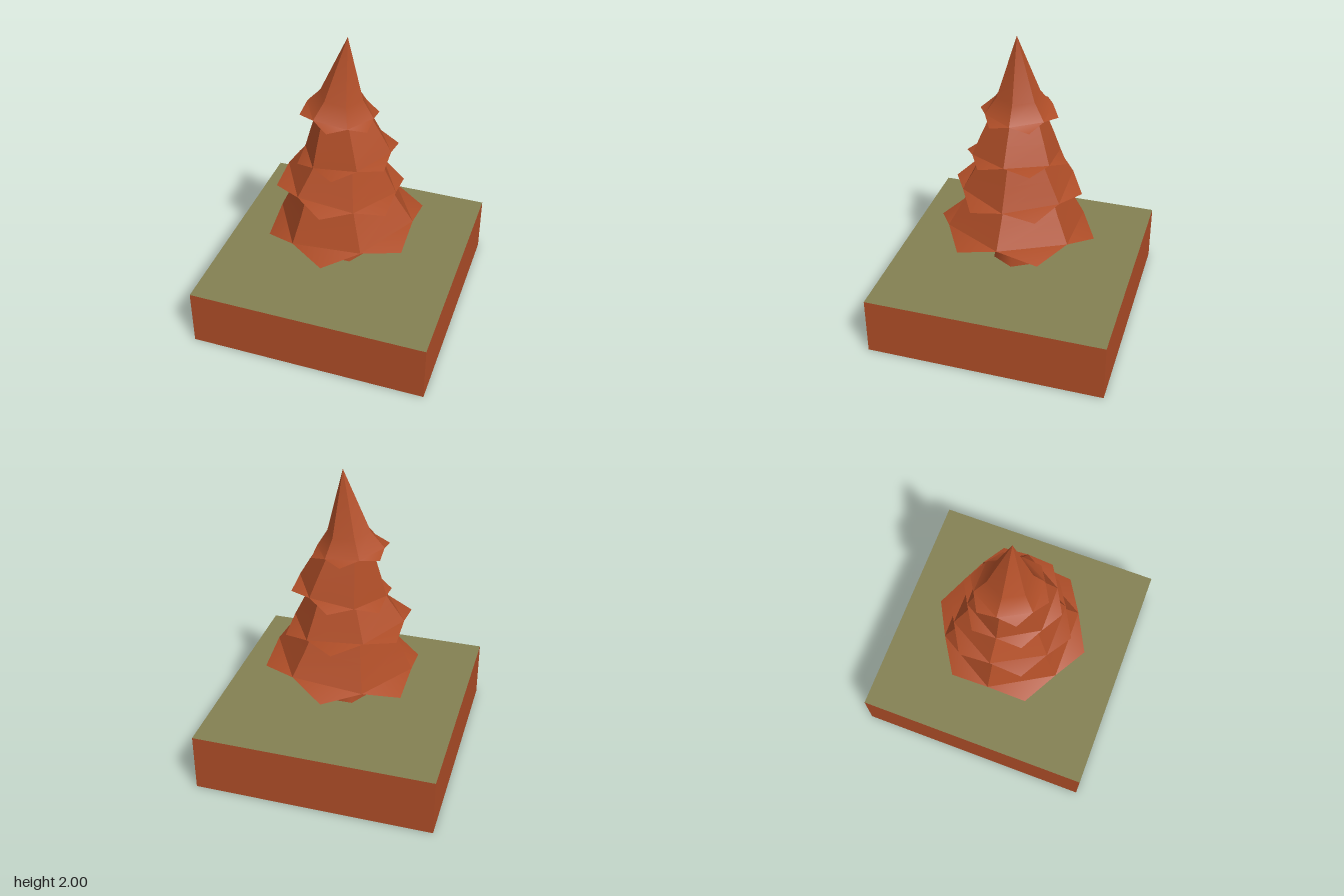
import * as THREE from 'three';
import { toCreasedNormals } from 'three/addons/utils/BufferGeometryUtils.js';

const SIDES = 6;

// One skirt of branches: six-sided rings [radius, height], with a drooping tip on each lower edge
function tierGeometry(rings, tipRadius, droop) {
  const pos = [];
  const point = (r, k, y) => {
    const a = (k * Math.PI * 2) / SIDES;
    return [r * Math.cos(a), y, r * Math.sin(a)];
  };
  const tri = (a, b, c) => pos.push(...a, ...b, ...c);
  for (let k = 0; k < SIDES; k++) {
    // sloping sides
    for (let i = 0; i < rings.length - 1; i++) {
      const [r0, y0] = rings[i], [r1, y1] = rings[i + 1];
      const a = point(r0, k, y0), b = point(r0, k + 1, y0);
      const c = point(r1, k, y1), d = point(r1, k + 1, y1);
      tri(a, c, b);
      if (r1 > 0) tri(c, d, b);
    }
    // tip (both faces) and underside
    const [r, y] = rings[0];
    const a = point(r, k, y), b = point(r, k + 1, y);
    const tip = point(tipRadius, k + 0.5, y - droop);
    tri(a, b, tip);
    tri(a, tip, b);
    tri([0, y, 0], a, b);
  }
  const geo = new THREE.BufferGeometry();
  geo.setAttribute('position', new THREE.Float32BufferAttribute(pos, 3));
  return toCreasedNormals(geo, THREE.MathUtils.degToRad(38));
}

export function createModel() {
  const model = new THREE.Group();
  model.name = 'treeOnBlock';

  const brown = new THREE.MeshStandardMaterial({ color: 0xae4d27 });
  brown.name = 'rustBrown';
  const green = new THREE.MeshStandardMaterial({ color: 0x838052 });
  green.name = 'olive';

  // Ground block, olive on top
  const block = new THREE.Mesh(
    new THREE.BoxGeometry(1.575, 0.395, 1.575),
    [brown, brown, green, brown, brown, brown]
  );
  block.name = 'groundBlock';
  block.position.y = 0.1975;
  model.add(block);

  // Flared six-sided trunk
  const profile = [[0.165, 0.39], [0.134, 0.55], [0.121, 0.69]].map(([r, y]) => new THREE.Vector2(r, y));
  const trunk = new THREE.Mesh(new THREE.LatheGeometry(profile, SIDES, Math.PI / 2), brown);
  trunk.name = 'trunk';
  model.add(trunk);

  // Branch tiers, tilted to alternate sides
  const tiers = [
    { x: 0.01, y: 0.69, tilt: 5, tip: 0.525, droop: 0.06, rings: [[0.46, 0], [0.365, 0.165], [0.27, 0.36]] },
    { x: -0.02, y: 0.972, tilt: -5.3, tip: 0.425, droop: 0.038, rings: [[0.37, 0], [0.286, 0.138], [0.2, 0.295]] },
    { x: 0.02, y: 1.206, tilt: 7, tip: 0.333, droop: 0.036, rings: [[0.29, 0], [0.237, 0.127], [0.155, 0.31]] },
    { x: -0.03, y: 1.487, tilt: -5.5, tip: 0.255, droop: 0.027, rings: [[0.22, 0], [0.14, 0.11], [0, 0.515]] },
  ];
  tiers.forEach((t, i) => {
    const mesh = new THREE.Mesh(tierGeometry(t.rings, t.tip, t.droop), brown);
    mesh.name = `branchTier${i + 1}`;
    mesh.position.set(t.x, t.y, 0);
    mesh.rotation.z = THREE.MathUtils.degToRad(t.tilt);
    model.add(mesh);
  });

  return model;
}
